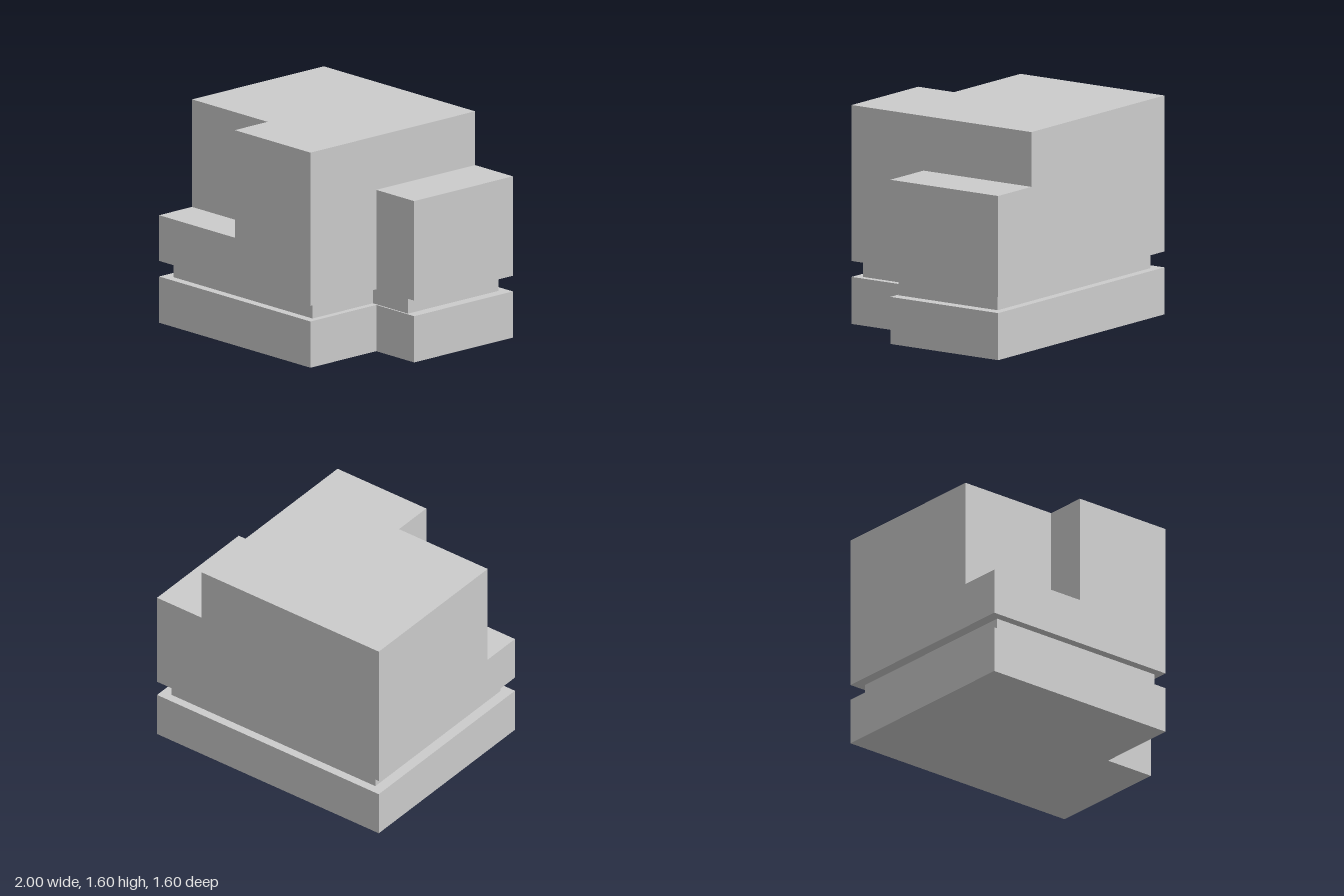
import * as THREE from 'three';

const material = new THREE.MeshStandardMaterial({ color: 0xcccccc, flatShading: true });

// Plan outlines as [x, z] corners
const basePlan = [[-1, -0.8], [1, -0.8], [1, 0.16], [0.6, 0.16], [0.6, 0.8], [-1, 0.8]];
const towerPlan = [[-1, -0.8], [0.6, -0.8], [0.6, 0.8], [-0.2, 0.8], [-0.2, 0.48], [-1, 0.48]];
const wingPlan = [[0.6, -0.8], [1, -0.8], [1, 0.16], [0.6, 0.16]];

// Raise a plan outline into a solid storey between two heights
function storey(name, plan, bottom, top, scale = 1) {
  const shape = new THREE.Shape(plan.map(([x, z]) => new THREE.Vector2(x * scale, -z * scale)));
  const geometry = new THREE.ExtrudeGeometry(shape, { depth: top - bottom, bevelEnabled: false });
  geometry.rotateX(-Math.PI / 2);
  geometry.translate(0, bottom, 0);
  const mesh = new THREE.Mesh(geometry, material);
  mesh.name = name;
  return mesh;
}

export function createModel() {
  const model = new THREE.Group();
  model.name = 'steppedBlockBuilding';
  model.add(
    storey('plinth', basePlan, 0, 0.344),
    // Recessed band, set in on every side
    storey('recessedBand', basePlan, 0.344, 0.46, 0.92),
    storey('lowerBody', basePlan, 0.46, 0.8),
    // Tall mass with a corner terrace cut out at the front
    storey('tower', towerPlan, 0.8, 1.6),
    // Lower side mass
    storey('sideWing', wingPlan, 0.8, 1.2),
  );
  return model;
}
